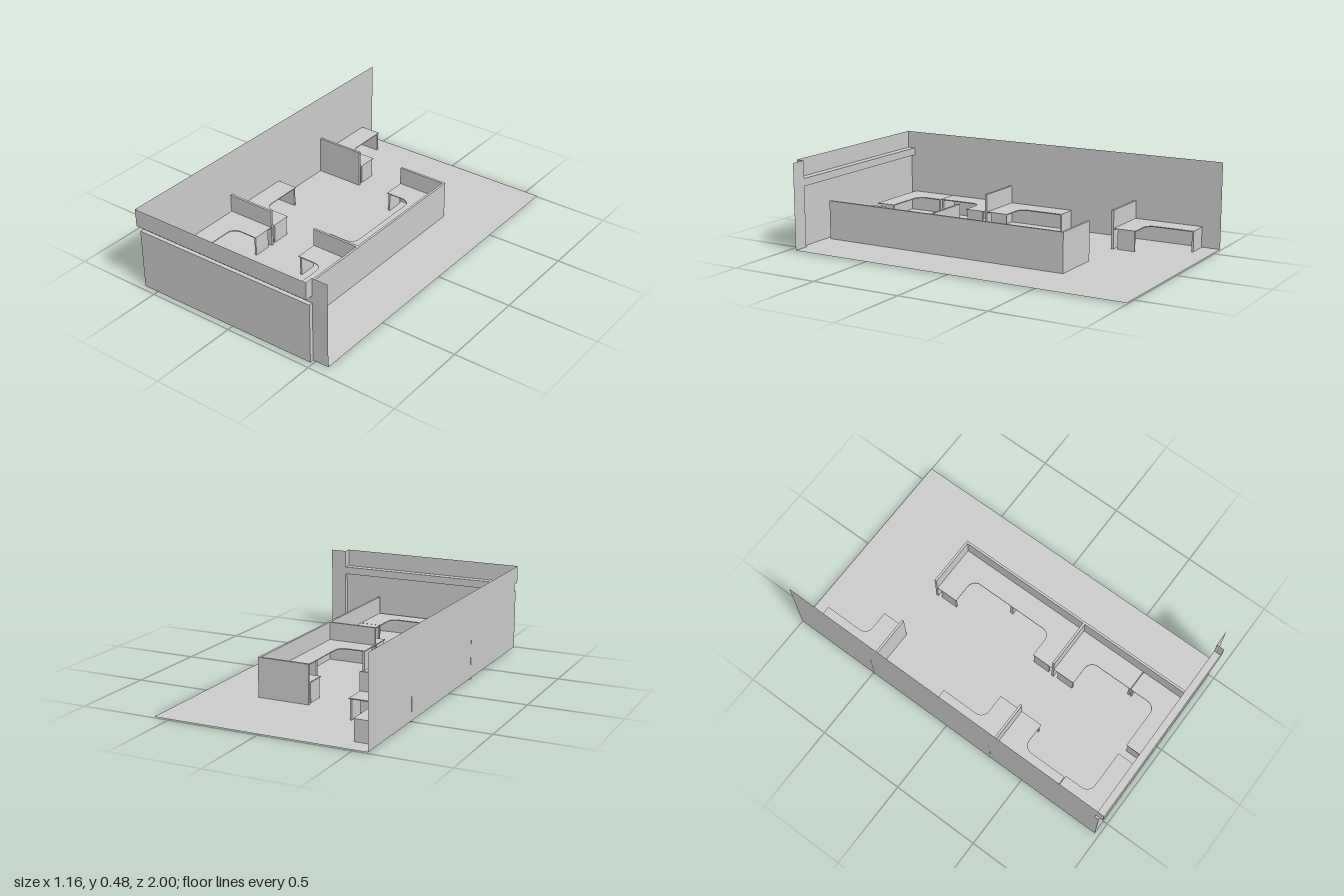
import * as THREE from 'three';

const mat = new THREE.MeshStandardMaterial({ color: 0xcccccc, flatShading: true, side: THREE.DoubleSide });
const W = 0.58, FLOOR = 0.006, WALL_H = 0.48;
const PART_H = 0.22, PART_T = 0.013, DESK_H = 0.12, TOP_T = 0.005;

// the street front runs very slightly out of square
const skew = (x) => -0.009 * (x + W) / (2 * W);

function box(name, x0, x1, y0, y1, z0, z1) {
  const m = new THREE.Mesh(new THREE.BoxGeometry(Math.abs(x1 - x0), y1 - y0, Math.abs(z1 - z0)), mat);
  m.position.set((x0 + x1) / 2, (y0 + y1) / 2, (z0 + z1) / 2);
  m.name = name;
  return m;
}

// thin surface made of four-cornered faces
function sheet(name, quads) {
  const pos = [];
  for (const [a, b, c, d] of quads) pos.push(...a, ...b, ...c, ...a, ...c, ...d);
  const g = new THREE.BufferGeometry();
  g.setAttribute('position', new THREE.Float32BufferAttribute(pos, 3));
  g.computeVertexNormals();
  const m = new THREE.Mesh(g, mat);
  m.name = name;
  return m;
}

// L-shaped desk growing from its outer corner: the foot runs along x, the arm along z
function desk(name, { x, z, sx, sz, foot, footD, arm, armD }) {
  const group = new THREE.Group();
  group.name = name;
  const r = 0.05;
  const s = new THREE.Shape();
  s.moveTo(0, 0);
  s.lineTo(foot, 0);
  s.lineTo(foot, footD);
  s.lineTo(armD + r, footD);
  s.absarc(armD + r, footD + r, r, -Math.PI / 2, -Math.PI, true);
  s.lineTo(armD, arm);
  s.lineTo(0, arm);
  s.closePath();
  // mirror the outline before extruding, so the faces stay outward
  const pts = s.getPoints(8).map((p) => new THREE.Vector2(p.x * sx, -p.y * sz));
  const g = new THREE.ExtrudeGeometry(new THREE.Shape(pts), { depth: TOP_T, bevelEnabled: false });
  g.rotateX(-Math.PI / 2);
  const top = new THREE.Mesh(g, mat);
  top.name = 'deskTop';
  top.position.set(x, DESK_H - TOP_T, z);
  group.add(top);
  // end panels carrying the top
  const t = 0.01, y1 = DESK_H - TOP_T;
  group.add(box('footPanel', x + sx * (foot - t - 0.004), x + sx * (foot - 0.004), FLOOR, y1,
    z + sz * 0.022, z + sz * (footD - 0.006)));
  group.add(box('armPanel', x + sx * 0.004, x + sx * (armD - 0.004), FLOOR, y1,
    z + sz * (arm - t - 0.002), z + sz * (arm - 0.002)));
  return group;
}

function facade() {
  const group = new THREE.Group();
  group.name = 'frontWall';
  const xa = -W, xb = 0.49;
  const P = (x, y, z) => [x, y, z + skew(x)];
  // folded section: sill, lower panel, recess, projecting fascia
  const prof = [[FLOOR, 0.955], [FLOOR, 0.977], [0.34, 0.977], [0.34, 0.955], [0.382, 0.955], [0.382, 1], [WALL_H, 1]];
  const folds = [];
  for (let i = 0; i + 1 < prof.length; i++) {
    const [y0, z0] = prof[i], [y1, z1] = prof[i + 1];
    folds.push([P(xa, y0, z0), P(xb, y0, z0), P(xb, y1, z1), P(xa, y1, z1)]);
  }
  group.add(sheet('foldedFront', folds));
  const ends = [];
  for (const x of [xa, xb]) {
    for (const [y0, y1, z] of [[FLOOR, 0.34, 0.977], [0.382, WALL_H, 1]]) {
      ends.push([P(x, y0, 0.955), P(x, y0, z), P(x, y1, z), P(x, y1, 0.955)]);
    }
  }
  group.add(sheet('frontReturns', ends));
  group.add(sheet('cornerPost', [[P(xb, FLOOR, 0.955), P(W, FLOOR, 0.955), P(W, WALL_H, 0.955), P(xb, WALL_H, 0.955)]]));
  return group;
}

export function createModel() {
  const model = new THREE.Group();
  model.name = 'officeRoom';

  // shell
  const zf = 0.955;
  model.add(sheet('floor', [[[-W, FLOOR, zf], [W, FLOOR, zf + skew(W)], [W, FLOOR, -1], [-W, FLOOR, -1]]]));
  model.add(sheet('sideWall', [[[-W, FLOOR, -1], [-W, FLOOR, zf], [-W, WALL_H, zf], [-W, WALL_H, -1]]]));
  model.add(facade());

  // partitions: one long divider with short cross screens on both sides
  const partitions = new THREE.Group();
  partitions.name = 'partitions';
  partitions.add(box('longPartition', 0.262, 0.262 + PART_T, 0, PART_H, -0.503, 0.947));
  for (const z of [-0.503, 0.284]) {
    partitions.add(box('rightScreen', -W - 0.001, -0.3, 0, PART_H, z, z + PART_T));
    partitions.add(box('leftScreen', -0.015, 0.262, 0, PART_H, z, z + PART_T));
  }
  model.add(partitions);

  // desks
  const xr = -0.577, xl = 0.262;
  const std = { foot: 0.275, footD: 0.127, arm: 0.39, armD: 0.121 };
  const desks = [
    ['backRightDesk', { ...std, x: xr, z: -0.503, sx: 1, sz: -1, arm: 0.395 }],
    ['middleRightDesk', { ...std, x: xr, z: 0.284, sx: 1, sz: -1 }],
    ['frontRightDesk', { ...std, x: xr, z: 0.297, sx: 1, sz: 1 }],
    ['frontRightCornerDesk', { ...std, x: xr, z: 0.95, sx: 1, sz: -1, foot: 0.392, footD: 0.11, arm: 0.26, armD: 0.13 }],
    ['backLeftDesk', { ...std, x: xl, z: -0.49, sx: -1, sz: 1 }],
    ['middleLeftDesk', { ...std, x: xl, z: 0.284, sx: -1, sz: -1 }],
    ['frontLeftDesk', { ...std, x: xl, z: 0.297, sx: -1, sz: 1 }],
    ['frontLeftCornerDesk', { ...std, x: xl, z: 0.947, sx: -1, sz: -1, foot: 0.385, footD: 0.1, arm: 0.257 }],
  ];
  for (const [name, spec] of desks) model.add(desk(name, spec));

  return model;
}
